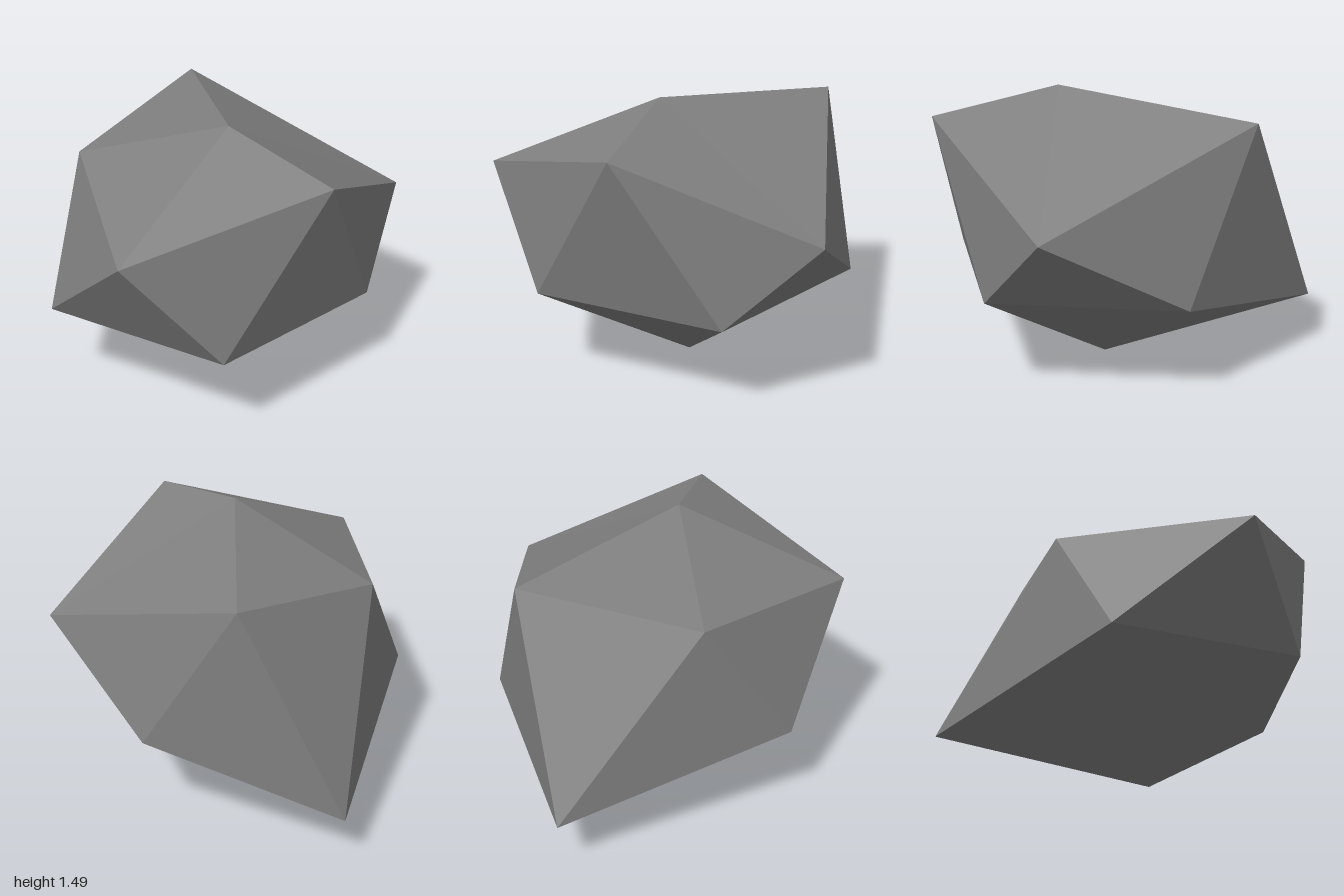
import * as THREE from 'three';

// A low-poly boulder: a twenty-sided solid with its corners pushed in and out.
export function createModel() {
  const stone = new THREE.MeshStandardMaterial({ color: 0x808080, flatShading: true });
  stone.name = 'stone grey';

  // Corners: tip, upper ring, lower ring (both run from the front round by +x), base
  const top = [0.34, 1.49, 0.06];
  const upper = [
    [0.54, 1.09, 0.93], [1, 1.37, 0], [0.61, 0.955, -0.93],
    [-0.57, 1.37, -0.5], [-0.41, 1.2, 0.42],
  ];
  const lower = [
    [-0.15, 0.525, 0.83], [0.82, 0.53, 0.52], [0.82, 0.53, -0.5],
    [-0.15, 0.525, -0.81], [-1, 0.3, -0.15],
  ];
  const base = [0.11, 0, 0.01];

  // Cap, zigzag band and underside, one fifth at a time
  const positions = [];
  const face = (a, b, c) => positions.push(...a, ...b, ...c);
  for (let i = 0; i < 5; i++) {
    const j = (i + 1) % 5;
    face(top, upper[i], upper[j]);
    face(lower[i], lower[j], upper[i]);
    face(upper[i], lower[j], upper[j]);
    face(base, lower[j], lower[i]);
  }

  const geometry = new THREE.BufferGeometry();
  geometry.setAttribute('position', new THREE.Float32BufferAttribute(positions, 3));
  geometry.computeVertexNormals();

  const boulder = new THREE.Mesh(geometry, stone);
  boulder.name = 'boulder';
  const model = new THREE.Group();
  model.name = 'rock';
  model.add(boulder);
  return model;
}
